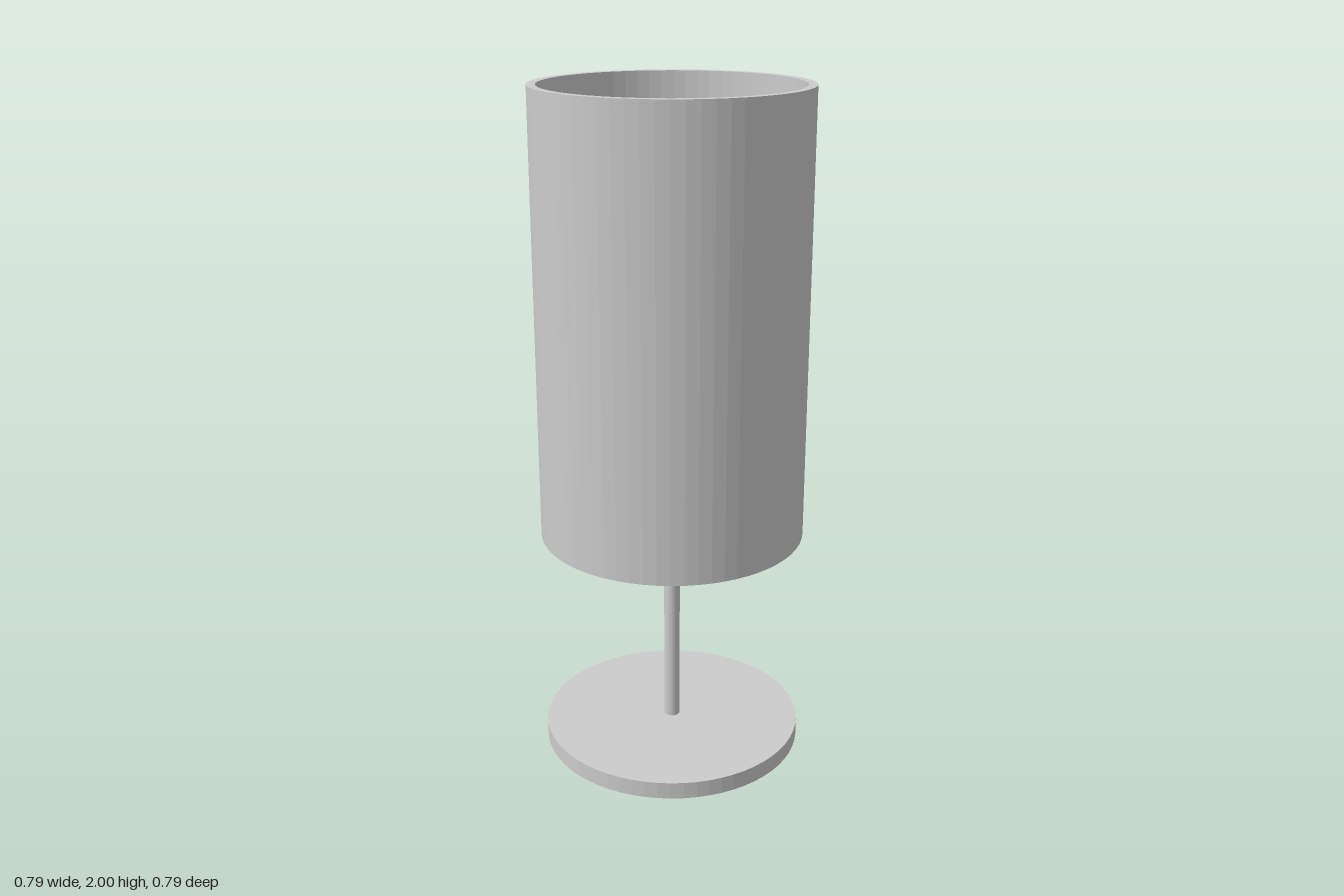
import * as THREE from 'three';

const SIDES = 64;
const RADIUS = 0.393;

export function createModel() {
  const lamp = new THREE.Group();
  lamp.name = 'tableLamp';
  const material = new THREE.MeshStandardMaterial({ color: 0xcccccc, flatShading: true });

  const add = (name, geometry, y) => {
    const mesh = new THREE.Mesh(geometry, material);
    mesh.name = name;
    mesh.position.y = y;
    lamp.add(mesh);
  };
  const disc = (radius, height, sides) => new THREE.CylinderGeometry(radius, radius, height, sides);

  // Round foot
  add('base', disc(RADIUS, 0.052, SIDES), 0.026);

  // Thin stem running up into the bulb
  const bulbY = 1.345;
  const stemBottom = 0.05;
  add('stem', disc(0.024, bulbY - stemBottom, 32), (bulbY + stemBottom) / 2);

  // Bulb hidden inside the shade
  add('bulb', new THREE.SphereGeometry(0.157, 32, 16), bulbY);

  // Open tube shade with wall thickness: closed profile turned round the axis
  const inner = 0.368, bottom = 0.69, top = 2;
  const profile = [
    [inner, bottom], [RADIUS, bottom], [RADIUS, top], [inner, top], [inner, bottom],
  ].map(([r, y]) => new THREE.Vector2(r, y));
  add('shade', new THREE.LatheGeometry(profile, SIDES), 0);

  return lamp;
}
